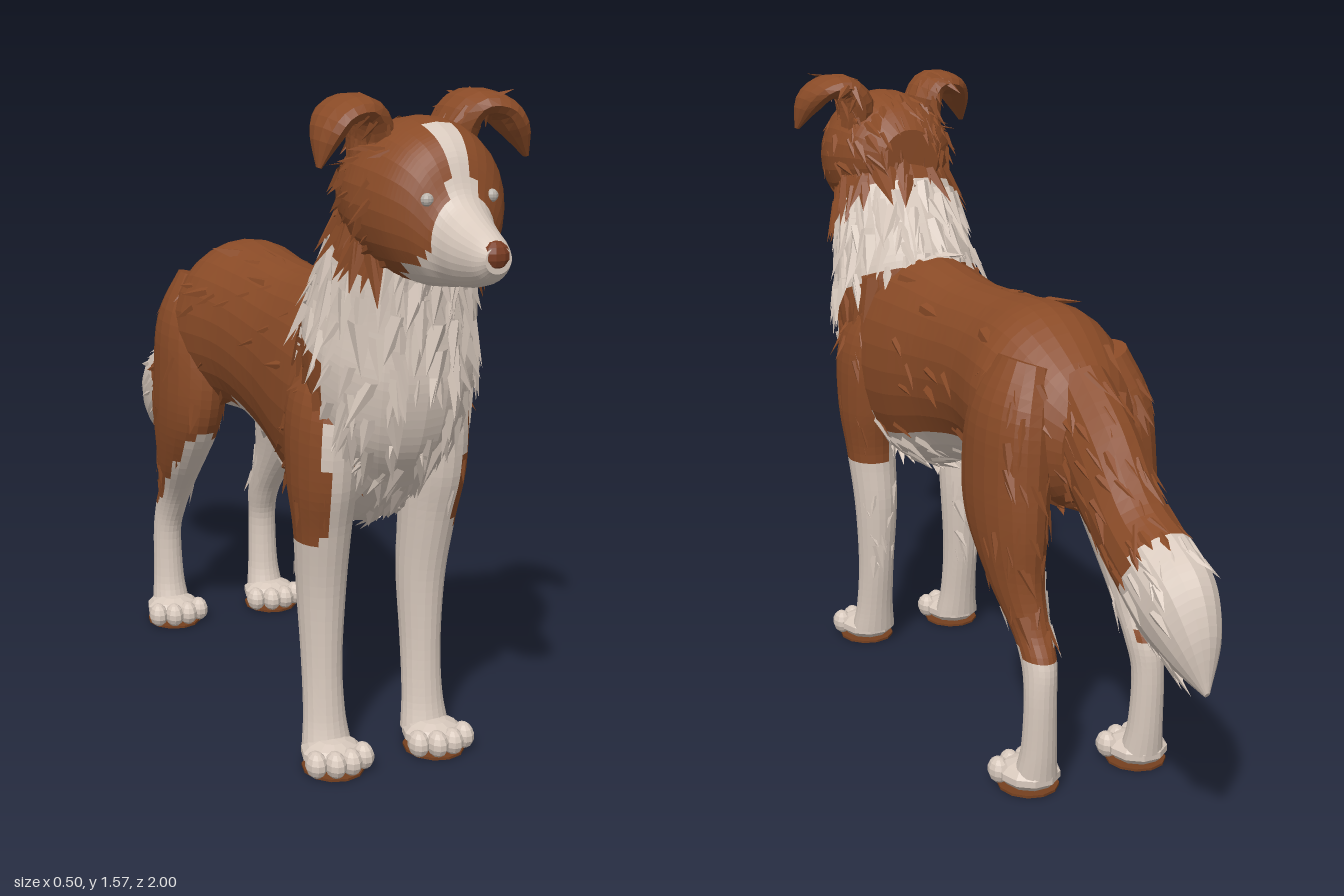
import * as THREE from 'three';

const V = (x, y, z) => new THREE.Vector3(x, y, z);

const material = (name, color) => {
  const m = new THREE.MeshStandardMaterial({ color, flatShading: true, side: THREE.DoubleSide });
  m.name = name;
  return m;
};

export function createModel() {
  const dog = new THREE.Group();
  dog.name = 'dog';

  const coat = material('russetCoat', 0x8a4b27);
  const cream = material('creamFur', 0xd8c9bd);
  const pad = material('brownPads', 0x76401f);
  const noseColor = material('noseBrown', 0x7a3c22);
  const eyeColor = material('paleEyes', 0xb9b2aa);

  let seed = 7;
  const rand = () => (seed = (seed * 16807) % 2147483647) / 2147483647;

  // One pointed, ridged lock of fur lying along the flow direction
  function tuft(out, base, normal, flow, length) {
    const dir = flow.clone().addScaledVector(normal, -flow.dot(normal));
    if (dir.length() < 0.2) return;
    dir.normalize();
    const side = normal.clone().cross(dir);
    dir.addScaledVector(side, (rand() - 0.5) * 0.8);
    const w = length * (0.18 + rand() * 0.12);
    const root = base.clone().addScaledVector(normal, -0.006);
    const left = root.clone().addScaledVector(side, -w);
    const right = root.clone().addScaledVector(side, w);
    const ridge = root.clone().addScaledVector(normal, w * 0.6);
    const tip = root.clone().addScaledVector(dir, length).addScaledVector(normal, length * (0.1 + rand() * 0.16));
    for (const p of [left, ridge, tip, ridge, right, tip]) out.push(p.x, p.y, p.z);
  }

  // Tapered body part: stations are [x, y, z, half width, half depth]; depth runs along up.
  // paint(p) is true where the coat is russet; fur adds locks to some faces.
  function loft(name, stations, up, paint, { sides = 20, rows = 32, mirror = 1, fur }) {
    const path = new THREE.CatmullRomCurve3(stations.map(s => V(s[0], s[1], s[2])), false, 'catmullrom', 0.5);
    const size = new THREE.CatmullRomCurve3(stations.map(s => V(s[3], s[4], 0)), false, 'catmullrom', 0.5);
    const rings = [];
    for (let i = -1; i <= rows + 1; i++) {
      const t = Math.min(Math.max(i / rows, 0), 1);
      const k = i < 0 || i > rows ? 0 : 1;
      const c = path.getPoint(t), r = size.getPoint(t);
      const across = up.clone().cross(path.getTangent(t)).normalize();
      rings.push(Array.from({ length: sides }, (_, j) => {
        const a = j / sides * Math.PI * 2;
        return c.clone()
          .addScaledVector(across, k * Math.max(r.x, 0.002) * Math.cos(a))
          .addScaledVector(up, k * Math.max(r.y, 0.002) * Math.sin(a));
      }));
    }
    const russet = [], pale = [];
    for (let i = 0; i < rings.length - 1; i++) {
      for (let j = 0; j < sides; j++) {
        const n = (j + 1) % sides;
        const a = rings[i][j], b = rings[i][n], c = rings[i + 1][n], d = rings[i + 1][j];
        const mid = a.clone().add(b).add(c).add(d).multiplyScalar(0.25);
        const out = paint(mid) ? russet : pale;
        for (const p of [a, b, c, a, c, d]) out.push(p.x, p.y, p.z);
        if (rand() < fur.density(mid)) {
          const normal = c.clone().sub(a).cross(d.clone().sub(b)).normalize();
          tuft(out, mid, normal, fur.flow, fur.length * (0.6 + rand() * 0.6));
        }
      }
    }
    const data = russet.concat(pale);
    if (mirror < 0) {
      for (let i = 0; i < data.length; i += 9) {
        for (let k = 0; k < 3; k++) [data[i + 3 + k], data[i + 6 + k]] = [data[i + 6 + k], data[i + 3 + k]];
        for (let k = 0; k < 9; k += 3) data[i + k] *= -1;
      }
    }
    const geo = new THREE.BufferGeometry();
    geo.setAttribute('position', new THREE.Float32BufferAttribute(data, 3));
    geo.addGroup(0, russet.length / 3, 0);
    geo.addGroup(russet.length / 3, pale.length / 3, 1);
    geo.computeVertexNormals();
    const mesh = new THREE.Mesh(geo, [coat, cream]);
    mesh.name = name;
    dog.add(mesh);
  }

  function blob(name, mat, pos, scale, geo = new THREE.SphereGeometry(1, 10, 7)) {
    const mesh = new THREE.Mesh(geo, mat);
    mesh.name = name;
    mesh.position.set(...pos);
    mesh.scale.set(...scale);
    dog.add(mesh);
  }

  const UP = V(0, 1, 0), FRONT = V(0, 0, 1);
  const behindCollar = p => p.y + 0.51 * p.z < 1.27;

  // Torso with pale belly and chest
  loft('torso', [
    [0, 0.82, -0.52, 0.09, 0.12], [0, 0.84, -0.45, 0.15, 0.18], [0, 0.88, -0.3, 0.2, 0.225],
    [0, 0.885, -0.1, 0.172, 0.215], [0, 0.86, 0.1, 0.165, 0.235], [0, 0.835, 0.3, 0.185, 0.28],
    [0, 0.835, 0.44, 0.19, 0.275], [0, 0.87, 0.57, 0.15, 0.2], [0, 0.9, 0.66, 0.09, 0.11],
  ], UP, p => behindCollar(p) && p.z < 0.57 && !(p.y < 0.71 + 0.03 * Math.cos(p.z * 9) && p.z > -0.22), {
    sides: 28, rows: 44,
    fur: { flow: V(0, -0.5, -1), length: 0.08, density: p => p.y < 0.7 ? 0.5 : p.z > 0.5 ? 0.35 : 0.06 },
  });

  // Neck with its thick pale ruff
  loft('neckRuff', [
    [0, 0.72, 0.5, 0.1, 0.1], [0, 0.86, 0.51, 0.175, 0.18], [0, 1.0, 0.525, 0.195, 0.205],
    [0, 1.12, 0.55, 0.18, 0.18], [0, 1.23, 0.585, 0.165, 0.15], [0, 1.34, 0.62, 0.14, 0.12],
  ], V(0, 0.35, -0.94),
  p => (behindCollar(p) && p.z < 0.57) || (p.y + 0.59 * p.z > 1.575 && p.z < 0.69), {
    sides: 24,
    fur: { flow: V(0, -1, -0.25), length: 0.1, density: p => p.y > 0.8 ? 0.45 : 0.2 },
  });

  // Head and muzzle with a pale blaze that widens down over the muzzle
  const isMuzzle = p => p.z > 0.85
    || (p.z > 0.83 - (1.37 - p.y) * 0.45 && Math.abs(p.x) < 0.03 + (1.38 - p.y) * 0.42);
  const isBlaze = p => Math.abs(p.x) < 0.03 && p.z > 0.73 && p.y > 1.3;
  loft('head', [
    [0, 1.35, 0.48, 0.08, 0.08], [0, 1.355, 0.55, 0.145, 0.135], [0, 1.35, 0.65, 0.17, 0.17],
    [0, 1.34, 0.75, 0.15, 0.165], [0, 1.322, 0.81, 0.115, 0.14], [0, 1.285, 0.85, 0.075, 0.095],
    [0, 1.27, 0.9, 0.06, 0.073], [0, 1.265, 0.96, 0.045, 0.05], [0, 1.268, 0.99, 0.03, 0.028],
  ], UP, p => !(isMuzzle(p) || isBlaze(p) || (p.y < 1.2 && p.z > 0.7)), {
    sides: 28, rows: 56,
    fur: {
      flow: V(0, -0.7, -0.8), length: 0.065,
      density: p => p.z < 0.74 && (Math.abs(p.x) > 0.1 || p.z < 0.62) ? 0.26 : 0,
    },
  });
  blob('nose', noseColor, [0, 1.275, 0.974], [0.033, 0.031, 0.026]);

  // Bushy tail with pale tip
  loft('tail', [
    [0, 0.92, -0.42, 0.08, 0.11], [0, 0.8, -0.55, 0.085, 0.125], [0, 0.685, -0.68, 0.085, 0.1],
    [0, 0.62, -0.79, 0.09, 0.112], [0, 0.56, -0.88, 0.084, 0.115], [0, 0.49, -0.95, 0.055, 0.075],
    [0, 0.41, -0.995, 0.006, 0.008],
  ], V(0, -0.8, 0.6), p => p.z > -0.72 - 0.55 * (p.y - 0.5), {
    sides: 16,
    fur: { flow: V(0, -0.65, -0.8), length: 0.075, density: p => p.z > -0.9 ? 0.32 : 0 },
  });

  for (const s of [1, -1]) {
    const side = s > 0 ? 'left' : 'right';

    // Folded ears and eyes
    loft(side + 'Ear', [
      [0.1, 1.42, 0.62, 0.045, 0.06], [0.1, 1.49, 0.62, 0.045, 0.078], [0.13, 1.535, 0.63, 0.034, 0.085],
      [0.185, 1.53, 0.64, 0.03, 0.085], [0.22, 1.49, 0.66, 0.03, 0.06], [0.245, 1.425, 0.68, 0.005, 0.01],
    ], FRONT, () => true, {
      sides: 12, rows: 14, mirror: s,
      fur: { flow: V(0.4, -1, -0.4), length: 0.065, density: p => p.x < 0.15 ? 0.4 : 0 },
    });
    blob(side + 'Eye', eyeColor, [s * 0.075, 1.37, 0.83], [0.014, 0.014, 0.012]);

    // Front leg, russet only on the outside of the shoulder
    loft(side + 'FrontLeg', [
      [0.11, 0.97, 0.45, 0.05, 0.08], [0.135, 0.85, 0.47, 0.075, 0.12], [0.14, 0.7, 0.475, 0.075, 0.11],
      [0.135, 0.57, 0.47, 0.065, 0.08], [0.13, 0.42, 0.455, 0.057, 0.066], [0.13, 0.25, 0.46, 0.048, 0.054],
      [0.13, 0.12, 0.475, 0.05, 0.048], [0.13, 0.04, 0.49, 0.06, 0.052],
    ], FRONT, p => behindCollar(p) && p.y > 0.55 && p.x > 0.12 && (p.x > 0.165 || p.z < 0.47) && p.z < 0.575, {
      sides: 20, rows: 40, mirror: s,
      fur: { flow: V(0, -1, -0.4), length: 0.06, density: p => p.z < 0.43 && p.y > 0.25 ? 0.18 : p.y > 0.6 ? 0.06 : 0 },
    });

    // Hind leg with a pale strip up the front of the thigh
    loft(side + 'HindLeg', [
      [0.09, 1.0, -0.36, 0.07, 0.08], [0.125, 0.88, -0.35, 0.09, 0.14], [0.14, 0.74, -0.345, 0.086, 0.16],
      [0.147, 0.62, -0.36, 0.077, 0.15], [0.147, 0.5, -0.405, 0.06, 0.1], [0.14, 0.4, -0.465, 0.045, 0.062],
      [0.14, 0.33, -0.51, 0.04, 0.054], [0.145, 0.25, -0.53, 0.038, 0.042], [0.145, 0.12, -0.525, 0.042, 0.042],
      [0.145, 0.04, -0.51, 0.052, 0.05],
    ], FRONT, p => p.y > Math.max(0.34, 0.65 + 0.95 * (p.z + 0.18)) && !(p.x < 0.11 && p.y < 0.64), {
      sides: 20, rows: 44, mirror: s,
      fur: { flow: V(0, -1, -0.3), length: 0.07, density: p => p.y < 0.4 ? 0 : p.z < -0.42 ? 0.22 : 0.05 },
    });

    // Paws with four toes and a brown sole
    for (const [end, x, z] of [['Front', 0.133, 0.525], ['Hind', 0.148, -0.485]]) {
      blob(side + end + 'Paw', cream, [s * x, 0.036, z], [0.074, 0.036, 0.078]);
      for (let i = 0; i < 4; i++) {
        const off = (i - 1.5) * 0.04, ahead = Math.abs(off) < 0.03 ? 0.062 : 0.043;
        blob(side + end + 'Toe', cream, [s * x + off, 0.034, z + ahead], [0.025, 0.032, 0.033]);
      }
      blob(side + end + 'Sole', pad, [s * x, 0.003, z + 0.008], [0.073, 0.006, 0.078],
        new THREE.CylinderGeometry(1, 1, 1, 12));
    }
  }
  return dog;
}
